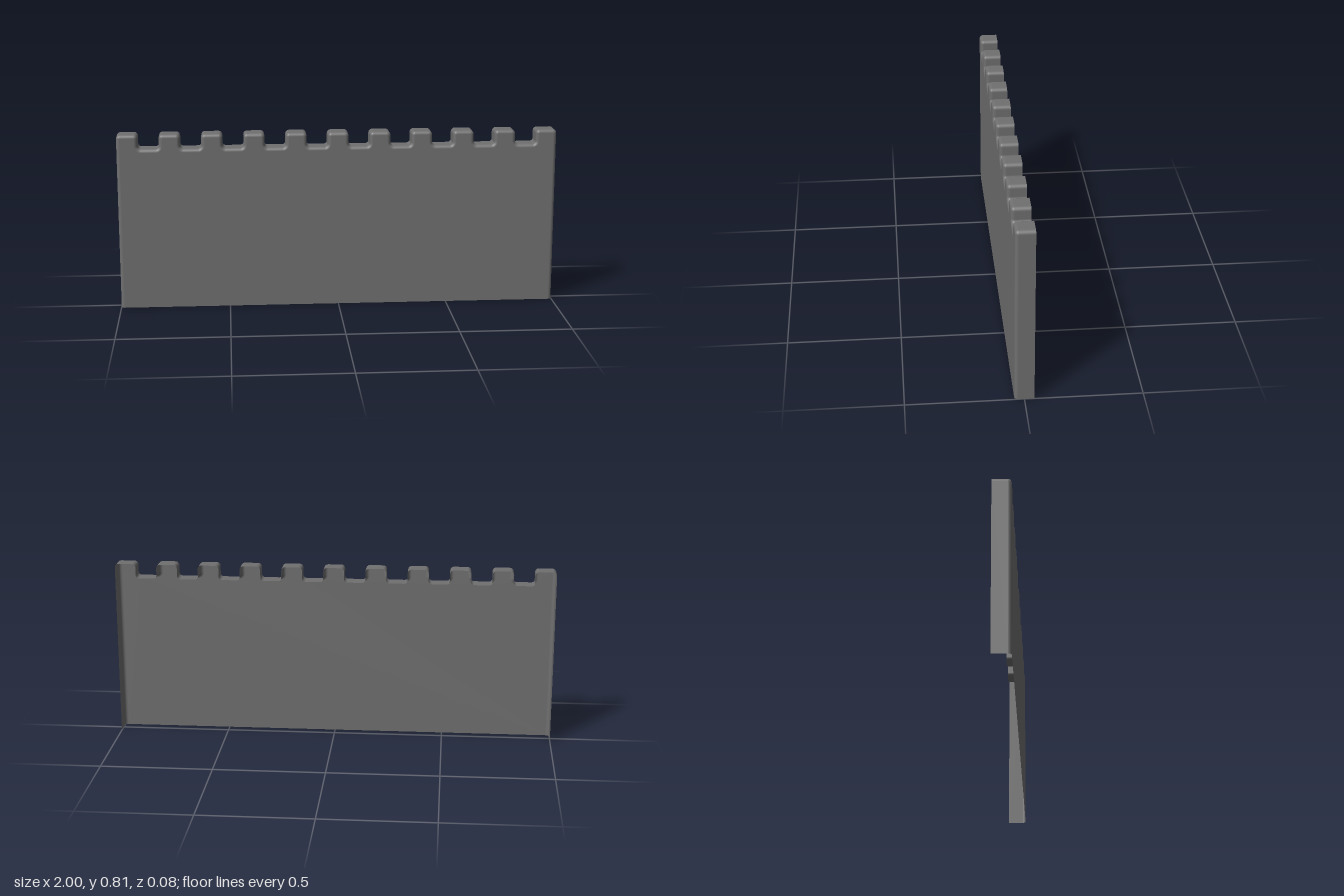
import * as THREE from 'three';

const TOP = 0.806, NOTCH = 0.74;      // heights of merlon tops and notch floors
const BACK = -0.042, FRONT = 0.042;
const SEGMENTS = 21;                  // alternating merlons and notches
const BEVEL = 0.016, OUTER = 0.017, INNER = 0.014;
const STEPS = 5;

// Open outline from bottom left, over the battlements, to bottom right.
// Each entry holds a point and its outward normal.
function battlementOutline() {
  const ring = [];
  const add = (cx, cy, radius, angle, sign) => {
    const c = Math.cos(angle), s = Math.sin(angle);
    ring.push({ x: cx + c * radius, y: cy + s * radius, nx: c * sign, ny: s * sign });
  };
  const arc = (cx, cy, radius, from, to, sign) => {
    for (let k = 0; k <= STEPS; k++) add(cx, cy, radius, from + (to - from) * k / STEPS, sign);
  };
  const w = 2 / SEGMENTS, q = Math.PI / 2;
  ring.push({ x: -1, y: 0, nx: -1, ny: 0 });
  for (let i = 0; i < SEGMENTS; i += 2) {
    const x0 = -1 + i * w, x1 = x0 + w, x2 = x1 + w;
    arc(x0 + OUTER, TOP - OUTER, OUTER, 2 * q, q, 1);
    arc(x1 - OUTER, TOP - OUTER, OUTER, q, 0, 1);
    if (i < SEGMENTS - 1) {
      arc(x1 + INNER, NOTCH + INNER, INNER, 2 * q, 3 * q, -1);
      arc(x2 - INNER, NOTCH + INNER, INNER, 3 * q, 4 * q, -1);
    }
  }
  ring.push({ x: 1, y: 0, nx: 1, ny: 0 });
  return ring;
}

// Rim wall running from the open back to a rounded front edge
function rimGeometry(ring) {
  const profile = [{ inset: 0, z: BACK, a: 0 }];
  for (let k = 0; k <= STEPS; k++) {
    const a = Math.PI / 2 * k / STEPS;
    profile.push({
      inset: BEVEL * (1 - Math.cos(a)),
      z: FRONT - BEVEL * (1 - Math.sin(a)),
      a,
    });
  }
  const positions = [], normals = [], index = [], n = profile.length;
  ring.forEach((p, i) => {
    profile.forEach((s, j) => {
      positions.push(p.x - p.nx * s.inset, p.y - p.ny * s.inset, s.z);
      normals.push(p.nx * Math.cos(s.a), p.ny * Math.cos(s.a), Math.sin(s.a));
      if (i < ring.length - 1 && j < n - 1) {
        const a = i * n + j, b = a + 1, c = a + n, d = c + 1;
        index.push(a, b, c, b, d, c);
      }
    });
  });
  const geometry = new THREE.BufferGeometry();
  geometry.setAttribute('position', new THREE.Float32BufferAttribute(positions, 3));
  geometry.setAttribute('normal', new THREE.Float32BufferAttribute(normals, 3));
  geometry.setIndex(index);
  return geometry;
}

export function createModel() {
  const stone = new THREE.MeshStandardMaterial({ color: 0x707070, side: THREE.DoubleSide });
  stone.name = 'grey stone';

  const group = new THREE.Group();
  group.name = 'battlementWall';
  const ring = battlementOutline();

  const rim = new THREE.Mesh(rimGeometry(ring), stone);
  rim.name = 'battlementRim';

  // Flat front sheet, inset to meet the rounded edge
  const shape = new THREE.Shape(
    ring.map((p) => new THREE.Vector2(p.x - p.nx * BEVEL, p.y - p.ny * BEVEL)));
  const face = new THREE.Mesh(new THREE.ShapeGeometry(shape), stone);
  face.name = 'frontFace';
  face.position.z = FRONT;

  group.add(rim, face);
  return group;
}
